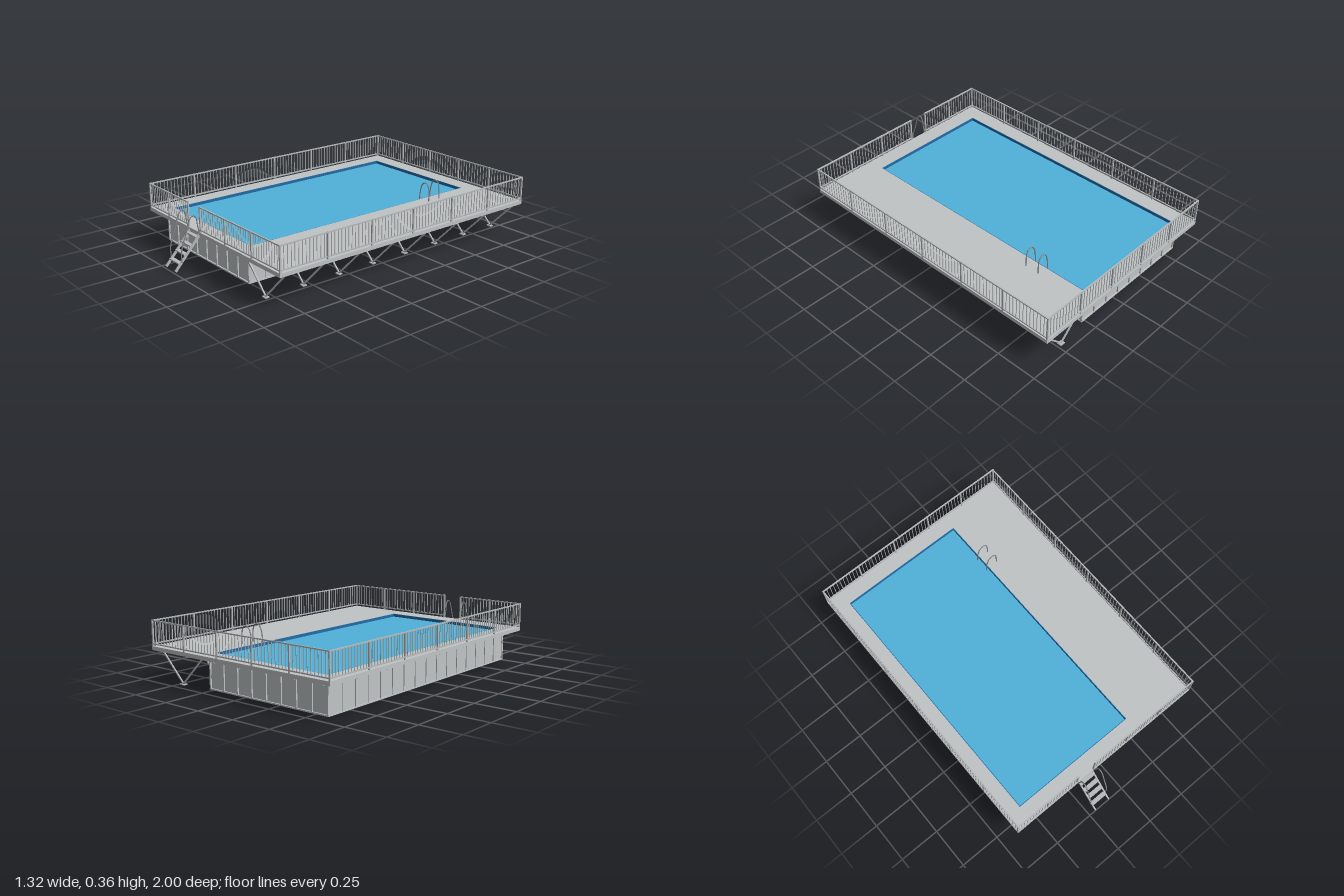
import * as THREE from 'three';

const mat = (name, color) => {
  const m = new THREE.MeshStandardMaterial({ color });
  m.name = name;
  return m;
};

export function createModel() {
  const deckGrey = mat('deck grey', 0xc0c4c4);
  const wallGrey = mat('wall grey', 0xc0c5c5);
  const steel = mat('steel', 0xb6babb);
  const darkSteel = mat('dark steel', 0x8a8d8f);
  const waterBlue = mat('water blue', 0x50b0d8);
  const linerBlue = mat('liner blue', 0x236ca8);

  const model = new THREE.Group();
  model.name = 'raisedPool';
  const group = (name) => {
    const g = new THREE.Group();
    g.name = name;
    model.add(g);
    return g;
  };
  // box given by its limits on each axis
  const box = (parent, name, m, x0, x1, y0, y1, z0, z1) => {
    const b = new THREE.Mesh(new THREE.BoxGeometry(x1 - x0, y1 - y0, z1 - z0), m);
    b.position.set((x0 + x1) / 2, (y0 + y1) / 2, (z0 + z1) / 2);
    b.name = name;
    parent.add(b);
  };
  // square bar between two points
  const bar = (parent, name, m, a, b, w, h = w) => {
    const p = new THREE.Vector3(...a), q = new THREE.Vector3(...b);
    const mesh = new THREE.Mesh(new THREE.BoxGeometry(w, h, p.distanceTo(q)), m);
    mesh.position.copy(p).add(q).multiplyScalar(0.5);
    mesh.lookAt(q);
    mesh.name = name;
    parent.add(mesh);
  };
  const tube = (parent, name, points, r) => {
    const curve = new THREE.CatmullRomCurve3(points.map((p) => new THREE.Vector3(...p)));
    const t = new THREE.Mesh(new THREE.TubeGeometry(curve, 40, r, 8), darkSteel);
    t.name = name;
    parent.add(t);
  };
  // rectangular slab with a rectangular hole, lying flat from y0 to y1
  const frame = (name, m, o, i, y0, y1) => {
    const rect = (T, [x0, x1, z0, z1]) => new T([[x0, -z1], [x1, -z1], [x1, -z0], [x0, -z0]]
      .map(([x, y]) => new THREE.Vector2(x, y)));
    const s = rect(THREE.Shape, o);
    s.holes.push(rect(THREE.Path, i));
    const g = new THREE.ExtrudeGeometry(s, { depth: y1 - y0, bevelEnabled: false });
    g.rotateX(-Math.PI / 2).translate(0, y0, 0);
    const mesh = new THREE.Mesh(g, m);
    mesh.name = name;
    model.add(mesh);
  };

  const X = 0.66, ZB = -1, ZF = 0.833, TOP = 0.206, UNDER = 0.183;
  const hole = [-0.56, 0.251, -0.9, 0.728];
  const wall = [-0.578, 0.27, -0.915, 0.754];
  const [hx0, hx1, hz0, hz1] = hole;
  const [wx0, wx1, wz0, wz1] = wall;

  // Deck, its edge beams and the pool shell
  frame('deck', deckGrey, [-X, X, ZB, ZF], hole, 0.196, TOP);
  frame('deckFascia', deckGrey, [-X, X, ZB, ZF], [-X + 0.012, X - 0.012, ZB + 0.012, ZF - 0.012], UNDER, 0.196);
  frame('poolWall', wallGrey, wall, hole, 0, 0.196);
  frame('poolLiner', linerBlue, hole, [hx0 + 0.004, hx1 - 0.004, hz0 + 0.004, hz1 - 0.004], 0.002, TOP - 0.001);
  box(model, 'poolFloor', linerBlue, wx0 + 0.004, wx1 - 0.004, -0.0005, 0.0055, wz0 + 0.004, wz1 - 0.004);
  box(model, 'water', waterBlue, hx0 + 0.003, hx1 - 0.003, 0.18, 0.187, hz0 + 0.003, hz1 - 0.003);

  // Ribs and sills framing the wall panels
  const ribs = group('wallRibs');
  for (let i = 0; i <= 8; i++) {
    const x = wx0 + (wx1 - wx0) * i / 8;
    for (const z of [wz0, wz1]) box(ribs, 'rib', wallGrey, x - 0.004, x + 0.004, 0, UNDER, z - 0.008, z + 0.008);
  }
  for (let i = 0; i <= 16; i++) {
    const z = wz0 + (wz1 - wz0) * i / 16;
    for (const x of [wx0, wx1]) box(ribs, 'rib', wallGrey, x - 0.005, x + 0.005, 0, UNDER, z - 0.003, z + 0.003);
  }
  frame('wallSill', wallGrey, [wx0 - 0.005, wx1 + 0.005, wz0 - 0.008, wz1 + 0.008], wall, 0, 0.008);

  // Joists, V supports under the wide side, brackets on the others
  const under = group('deckSupports');
  const frames = 8, step = 0.2475, firstZ = -0.942;
  for (let i = 0; i < frames; i++) {
    const z = firstZ + i * step;
    const joist = (c) => box(under, 'joist', steel, wx1, X - 0.012, UNDER, 0.196, c - 0.006, c + 0.006);
    joist(z - 0.02);
    joist(z + 0.02);
    if (i < frames - 1) joist(z + step / 2);
    for (const x of [0.29, 0.65]) bar(under, 'supportLeg', steel, [0.47, 0.006, z], [x, UNDER + 0.003, z], 0.008);
    box(under, 'supportFoot', steel, 0.454, 0.486, 0, 0.006, z - 0.013, z + 0.013);
    if (z > wz0 && z < wz1) bar(under, 'sideBracket', steel, [wx0, 0.153, z], [-0.627, UNDER + 0.003, z], 0.007);
  }
  for (const x of [-0.55, -0.353, -0.155, 0.043, 0.24]) {
    bar(under, 'frontBracket', steel, [x, 0.153, wz1], [x, UNDER + 0.003, wz1 + 0.045], 0.007);
    bar(under, 'backBracket', steel, [x, 0.153, wz0], [x, UNDER + 0.003, wz0 - 0.045], 0.007);
  }

  // Railings: posts, two rails and thin balusters, open at the ladder
  const RX = X - 0.005, RB = ZB + 0.005, RF = ZF - 0.005, railTop = 0.357;
  const railing = (name, [ax, az], [bx, bz], spans) => {
    const g = group(name);
    const upright = (part, t, h, y0, y1) => {
      const x = ax + (bx - ax) * t, z = az + (bz - az) * t;
      box(g, part, steel, x - h, x + h, y0, y1, z - h, z + h);
    };
    for (const y of [0.353, 0.22]) bar(g, 'rail', steel, [ax, y, az], [bx, y, bz], 0.008, 0.007);
    const per = Math.round(Math.hypot(bx - ax, bz - az) / spans / 0.023);
    for (let i = 0; i <= spans * per; i++) {
      const t = i / (spans * per);
      if (i % per === 0) upright('post', t, 0.0045, UNDER + 0.01, railTop);
      else upright('baluster', t, 0.0017, 0.22, 0.353);
    }
  };
  railing('backRailing', [-RX, RB], [RX, RB], 5);
  railing('leftRailing', [RX, RB], [RX, RF], 6);
  railing('rightRailing', [-RX, RB], [-RX, RF], 6);
  railing('frontRailingRight', [-RX, RF], [-0.218, RF], 2);
  railing('frontRailingLeft', [-0.093, RF], [RX, RF], 3);

  // Sloping entry ladder with curved handrails
  const ladder = group('entryLadder');
  for (const x of [-0.205, -0.103]) {
    bar(ladder, 'stringer', steel, [x, 0.009, 0.994], [x, 0.196, 0.826], 0.008, 0.014);
  }
  for (const y of [0.05, 0.093, 0.136, 0.179]) {
    const z = 1 - (y - 0.006) * 0.9;
    box(ladder, 'step', steel, -0.205, -0.103, y - 0.004, y + 0.004, z - 0.013, z + 0.013);
  }
  for (const x of [-0.214, -0.094]) {
    tube(ladder, 'handrail', [[x, 0.055, 0.955], [x, 0.11, 0.956], [x, 0.165, 0.942], [x, 0.215, 0.922],
      [x, 0.27, 0.905], [x, 0.305, 0.888], [x, 0.315, 0.87], [x, 0.298, 0.853], [x, 0.255, 0.846], [x, 0.195, 0.835]], 0.0035);
  }

  // Arched grab rails at the pool edge
  const grab = group('poolGrabRails');
  for (const z of [-0.634, -0.546]) {
    tube(grab, 'grabRail', [[0.234, 0.183, z], [0.236, 0.23, z], [0.246, 0.282, z], [0.262, 0.308, z],
      [0.28, 0.314, z], [0.298, 0.307, z], [0.31, 0.282, z], [0.313, 0.24, z], [0.313, 0.203, z]], 0.0035);
  }
  return model;
}
